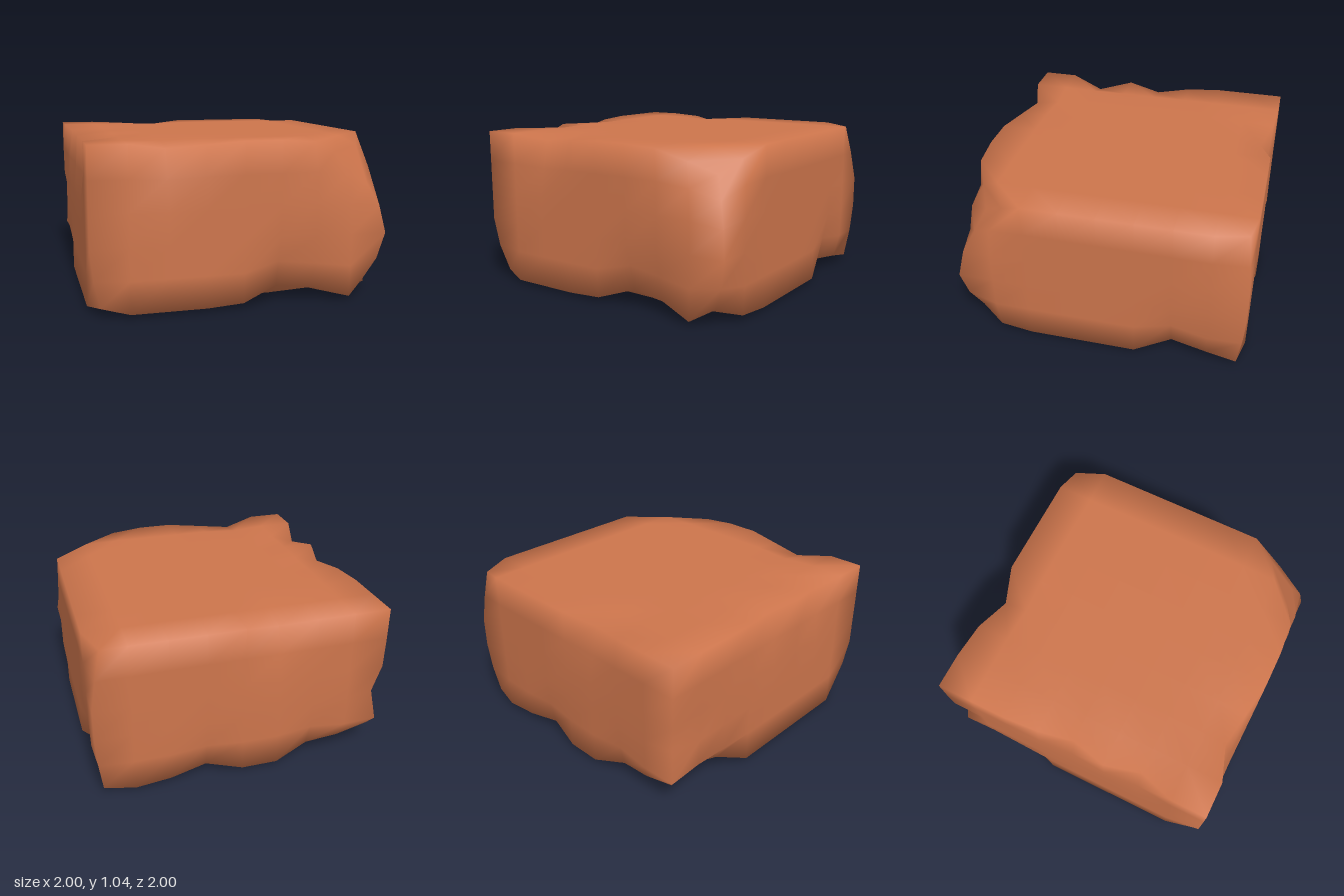
import * as THREE from 'three';
import { mergeVertices } from 'three/addons/utils/BufferGeometryUtils.js';

const H = 0.945, TOP = 1.04, LOW = 0.02;
const v = (x, y, z) => new THREE.Vector3(x, y, z);

// Corners chipped off, each by the plane through three points on the block's edges
const chips = [
  [v(H, TOP, 0.5), v(0.42, TOP, H), v(H, 0.53, H)],
  [v(H, LOW, 0.66), v(0.7, LOW, H), v(H, 0.34, H)],
  [v(-H, LOW, 0.8), v(-0.8, LOW, H), v(-H, 0.33, H)],
  [v(H, TOP, -0.75), v(0.85, TOP, -H), v(H, 0.68, -H)],
  [v(H, LOW, -0.86), v(0.86, LOW, -H), v(H, 0.33, -H)],
  [v(-H, LOW, -0.3), v(-0.4, LOW, -H), v(-H, 0.2, -H)],
].map((points) => {
  const plane = new THREE.Plane().setFromCoplanarPoints(...points);
  if (plane.distanceToPoint(v(0, 0.5, 0)) > 0) plane.negate();
  return plane;
});

// Worn hollows along the edges: centre, radius, push
const hollows = [
  [v(0.3, LOW, H), 0.32, v(0, 0.09, -0.09)],
  [v(H, LOW, -0.53), 0.28, v(-0.08, 0.08, 0)],
  [v(-H, TOP, 0.46), 0.24, v(0.08, -0.06, 0)],
  [v(-H, TOP, -0.03), 0.24, v(0.07, -0.04, 0)],
  [v(-0.25, TOP, -H), 0.25, v(0, -0.05, 0.08)],
  [v(-0.43, TOP, H), 0.27, v(0, -0.04, -0.08)],
  [v(0.27, LOW, -H), 0.24, v(0, 0.05, 0.05)],
  [v(-0.5, LOW, -H), 0.25, v(0, 0.05, 0.05)],
  [v(-H, LOW, -0.6), 0.25, v(0.08, 0.08, 0)],
  [v(-H, 0.42, -H), 0.22, v(0.04, 0, 0.04)],
];

// Slight swellings that touch the ground
const feet = [v(0.27, LOW, 0.7), v(0.7, LOW, -0.7)];

function blockGeometry() {
  let geometry = new THREE.BoxGeometry(2 * H, TOP - LOW, 2 * H, 8, 5, 8);
  geometry.translate(0, (TOP + LOW) / 2, 0);
  geometry.deleteAttribute('uv');
  geometry.deleteAttribute('normal');
  geometry = mergeVertices(geometry);
  const position = geometry.attributes.position;
  const p = v(0, 0, 0);
  for (let i = 0; i < position.count; i++) {
    p.fromBufferAttribute(position, i);
    const start = p.clone();
    for (const plane of chips) {
      const over = plane.distanceToPoint(p);
      if (over > 0) p.addScaledVector(plane.normal, -over);
    }
    for (const [centre, radius, push] of hollows) {
      const t = start.distanceTo(centre) / radius;
      if (t < 1) p.addScaledVector(push, 1 - t * t);
    }
    for (const foot of feet) if (start.distanceTo(foot) < 0.1) p.y = 0;
    position.setXYZ(i, p.x, p.y, p.z);
  }
  geometry.computeVertexNormals();
  return geometry;
}

export function createModel() {
  const group = new THREE.Group();
  group.name = 'stoneBlock';
  const clay = new THREE.MeshStandardMaterial({ color: 0xcd754c });
  clay.name = 'clay';
  const block = new THREE.Mesh(blockGeometry(), clay);
  block.name = 'block';
  block.rotation.y = 0.058; // sits slightly askew
  group.add(block);
  return group;
}
